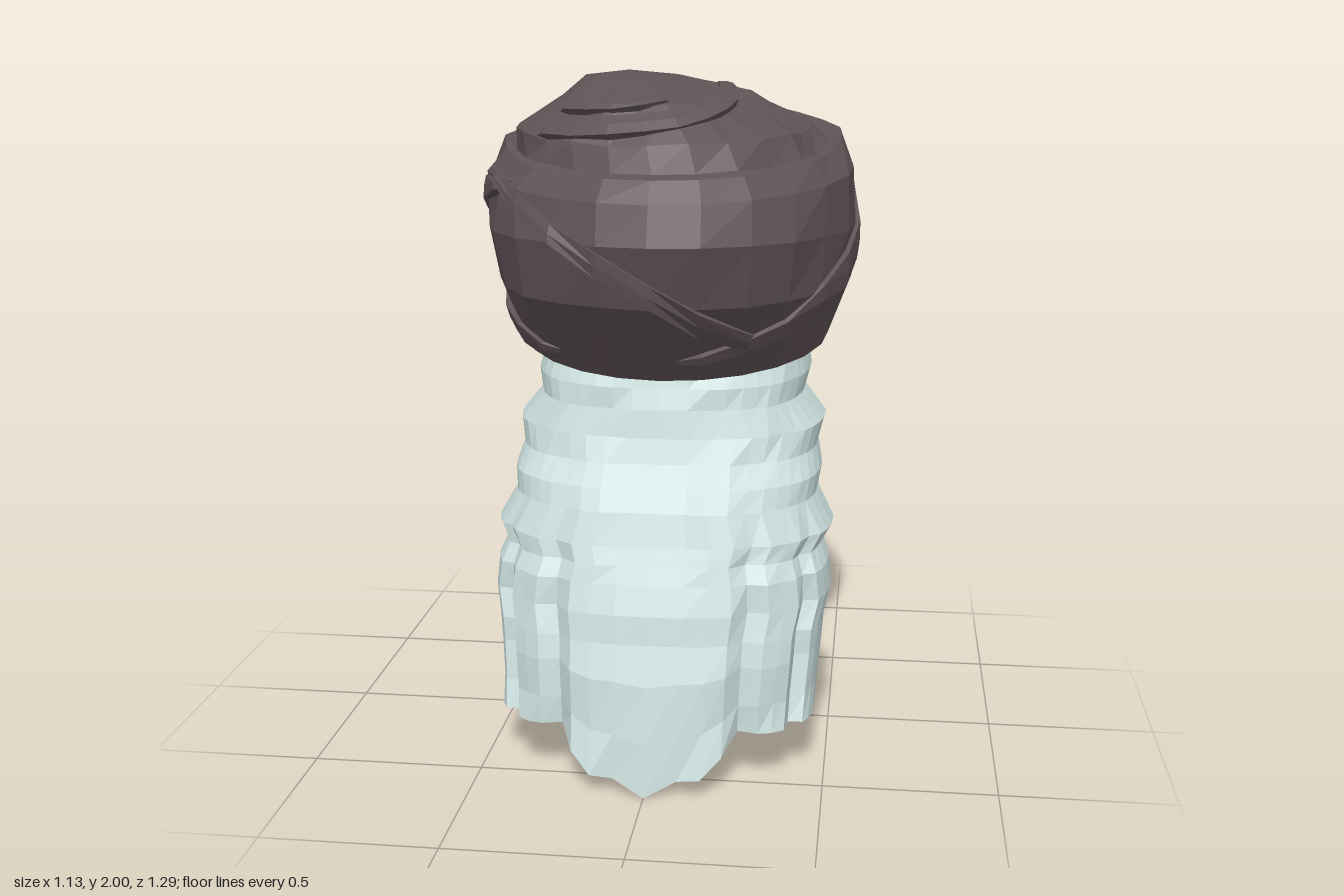
import * as THREE from 'three';

const lerp = THREE.MathUtils.lerp;
const clamp = THREE.MathUtils.clamp;

// Repeatable small irregularity in -1..1
function wobble(i, j) {
  const s = Math.sin(i * 127.1 + j * 311.7) * 43758.5453;
  return (s - Math.floor(s)) * 2 - 1;
}

// Faceted skin through closed cross-sections
function loft(rows) {
  const n = rows[0].length;
  const pos = rows.flat().flatMap((p) => [p.x, p.y, p.z]);
  const index = [];
  for (let i = 0; i < rows.length - 1; i++) {
    for (let j = 0; j < n; j++) {
      const k = (j + 1) % n;
      const a = i * n + j, b = i * n + k, c = (i + 1) * n + k, d = (i + 1) * n + j;
      index.push(a, b, c, a, c, d);
    }
  }
  const g = new THREE.BufferGeometry();
  g.setAttribute('position', new THREE.Float32BufferAttribute(pos, 3));
  g.setIndex(index);
  const flat = g.toNonIndexed();
  flat.computeVertexNormals();
  return flat;
}

// Turban rings: half width, front z, front y, back z, back y, x shift
const RINGS = [
  [0.47, 0.28, 1.13, -0.60, 1.28, 0],
  [0.53, 0.495, 1.37, -0.60, 1.43, 0],
  [0.55, 0.54, 1.55, -0.645, 1.55, 0],
  [0.545, 0.50, 1.66, -0.62, 1.79, 0],
  [0.50, 0.455, 1.72, -0.56, 1.88, 0],
  [0.455, 0.42, 1.735, -0.48, 1.83, 0],
  [0.435, 0.385, 1.81, -0.455, 1.87, -0.02],
  [0.28, 0.29, 1.91, -0.36, 1.955, -0.05],
  [0.14, 0.08, 1.985, -0.19, 1.985, -0.12],
  [0, -0.05, 2.0, -0.05, 2.0, -0.13],
];
const SEGMENTS = 24;

function ringPoint([w, zf, yf, zb, yb, dx], a) {
  const f = (Math.cos(a) + 1) / 2;
  return new THREE.Vector3(w * Math.sin(a) + dx, lerp(yb, yf, f), lerp(zb, zf, f));
}

// Point on the turban at angle a (0 = front) and ring number v, raised by h
function turbanPoint(a, v, h = 0) {
  v = clamp(v, 0, RINGS.length - 1);
  const i = Math.min(Math.floor(v), RINGS.length - 2);
  const p = ringPoint(RINGS[i], a).lerp(ringPoint(RINGS[i + 1], a), v - i);
  const out = p.clone().sub(new THREE.Vector3(0, 1.5, -0.05)).normalize();
  return p.addScaledVector(out, h);
}

function turbanBody() {
  const rows = [];
  const addRing = (fn) => {
    const row = [];
    for (let j = 0; j < SEGMENTS; j++) row.push(fn((j / SEGMENTS) * Math.PI * 2, j));
    rows.push(row);
  };
  // Hollow inside, from its top down to the opening
  [
    [0, -0.05, 1.95, -0.05, 1.95, -0.1],
    [0.27, 0.24, 1.86, -0.32, 1.9, -0.04],
    [0.45, 0.42, 1.66, -0.53, 1.74, 0],
    [0.50, 0.48, 1.52, -0.59, 1.53, 0],
    [0.47, 0.40, 1.32, -0.55, 1.40, 0],
    [0.39, 0.20, 1.16, -0.48, 1.27, 0],
  ].forEach((r) => addRing((a) => ringPoint(r, a)));
  // Wrapped outside and crown
  RINGS.forEach((r, i) => {
    const amount = i > 0 && i < 8 ? 0.012 : 0;
    addRing((a, j) => turbanPoint(a, i, wobble(i, j) * amount));
  });
  return loft(rows);
}

// Raised cloth fold; keys are [angle in degrees, ring number, half width]
function foldGeometry(keys, height) {
  const rows = [];
  const first = keys[0][0], last = keys[keys.length - 1][0];
  const steps = Math.ceil((last - first) / 15);
  for (let s = 0; s <= steps; s++) {
    const deg = lerp(first, last, s / steps);
    let k = 0;
    while (k < keys.length - 2 && deg > keys[k + 1][0]) k++;
    const t = (deg - keys[k][0]) / (keys[k + 1][0] - keys[k][0]);
    const v = lerp(keys[k][1], keys[k + 1][1], t);
    const w = lerp(keys[k][2], keys[k + 1][2], t);
    const h = s === 0 || s === steps ? -0.02 : height;
    const a = THREE.MathUtils.degToRad(deg);
    rows.push([
      turbanPoint(a, v + w, -0.03),
      turbanPoint(a, v + w * 0.9, h * 0.7),
      turbanPoint(a, v, h),
      turbanPoint(a, v - w * 0.9, h),
      turbanPoint(a, v - w, -0.03),
    ]);
  }
  return loft(rows);
}

// Beard levels: y, half width, back z, front z
const LEVELS = [
  [0.16, 0.465, 0.27, 0.575],
  [0.24, 0.47, 0.20, 0.575],
  [0.35, 0.48, 0.165, 0.56],
  [0.42, 0.485, 0.17, 0.54],
  [0.50, 0.505, 0.115, 0.52],
  [0.58, 0.495, 0.13, 0.495],
  [0.63, 0.475, 0.08, 0.47],
  [0.68, 0.505, 0.06, 0.45],
  [0.77, 0.455, 0.02, 0.42],
  [0.83, 0.465, -0.01, 0.38],
  [0.89, 0.45, -0.08, 0.33],
  [0.96, 0.47, -0.145, 0.285],
  [1.04, 0.405, -0.165, 0.275],
  [1.10, 0.42, -0.205, 0.25],
  [1.20, 0.40, -0.25, 0.22],
];

function beardGeometry() {
  const half = 12;
  const midRow = (row) => row.map((p, j) => p.clone().lerp(row[row.length - 1 - j], 0.5));
  const rows = LEVELS.map(([y, w, zb, zf], i) => {
    const outer = [], inner = [];
    const tip = [1, 0.6, 0.25][i] || 0;
    const groove = clamp((0.8 - y) / 0.3, 0, 1);
    for (let k = -half; k <= half; k++) {
      const a = (k / half) * Math.PI / 2;
      const sx = Math.sign(k) * Math.pow(Math.abs(Math.sin(a)), 0.8);
      const cz = Math.pow(Math.max(Math.cos(a), 0), 0.7);
      // Front shell with grooves between the locks
      const m = Math.abs(k);
      const g = m === 4 || m === 8 ? groove : 0;
      const n = wobble(i, Math.floor(m / 2)) * 0.012;
      // Longer middle lock with a scalloped tip
      const drop = tip * [0.16, 0.115, 0.105, 0.05, 0][Math.min(m, 4)];
      outer.push(new THREE.Vector3(
        w * sx * (1 - 0.05 * g),
        y - drop - (i === LEVELS.length - 1 ? 0.03 * cz : 0),
        lerp(zb, zf, cz) - 0.03 * g + n * cz + drop * 0.5,
      ));
      // V-shaped hollow behind
      const ix = 0.96 * k / half;
      inner.unshift(new THREE.Vector3(w * ix, y, lerp(zb, zf, 0.42 * (1 - Math.abs(ix)))));
    }
    return outer.concat(inner);
  });
  return loft([midRow(rows[0]), ...rows, midRow(rows[rows.length - 1])]);
}

export function createModel() {
  const model = new THREE.Group();
  const cloth = new THREE.MeshStandardMaterial({ color: 0x5f5255 });
  cloth.name = 'dark cloth';
  const hair = new THREE.MeshStandardMaterial({ color: 0xcbdedd });
  hair.name = 'pale hair';

  const add = (name, geometry, material, parent) => {
    const mesh = new THREE.Mesh(geometry, material);
    mesh.name = name;
    parent.add(mesh);
  };

  const turban = new THREE.Group();
  turban.name = 'turban';
  model.add(turban);
  add('turbanBody', turbanBody(), cloth, turban);

  // Overlapping wraps and crown pleats
  const folds = {
    frontFold: [[-75, 3.5, 0.1], [-45, 2.7, 0.25], [-15, 1.7, 0.22], [15, 0.8, 0.18], [45, 0.3, 0.06]],
    rightFold: [[0, 0.15, 0.06], [45, 0.55, 0.2], [75, 1.3, 0.35], [105, 2.1, 0.45], [150, 2.9, 0.45], [210, 3.4, 0.1]],
    backFold: [[135, 0.5, 0.05], [195, 1.1, 0.35], [255, 2.2, 0.4], [315, 3.2, 0.08]],
    lowerFold: [[180, 1.5, 0.05], [225, 0.8, 0.25], [285, 0.4, 0.2], [330, 0.15, 0.05]],
    crownFold: [[-60, 6.1, 0.1], [-30, 6.35, 0.3], [15, 6.6, 0.25], [60, 7.1, 0.2], [105, 7.5, 0.05]],
    crownPleat: [[-60, 6.7, 0.06], [-15, 6.95, 0.15], [30, 7.2, 0.05]],
  };
  for (const [name, keys] of Object.entries(folds)) {
    add(name, foldGeometry(keys, 0.018), cloth, turban);
  }

  add('beard', beardGeometry(), hair, model);
  return model;
}
